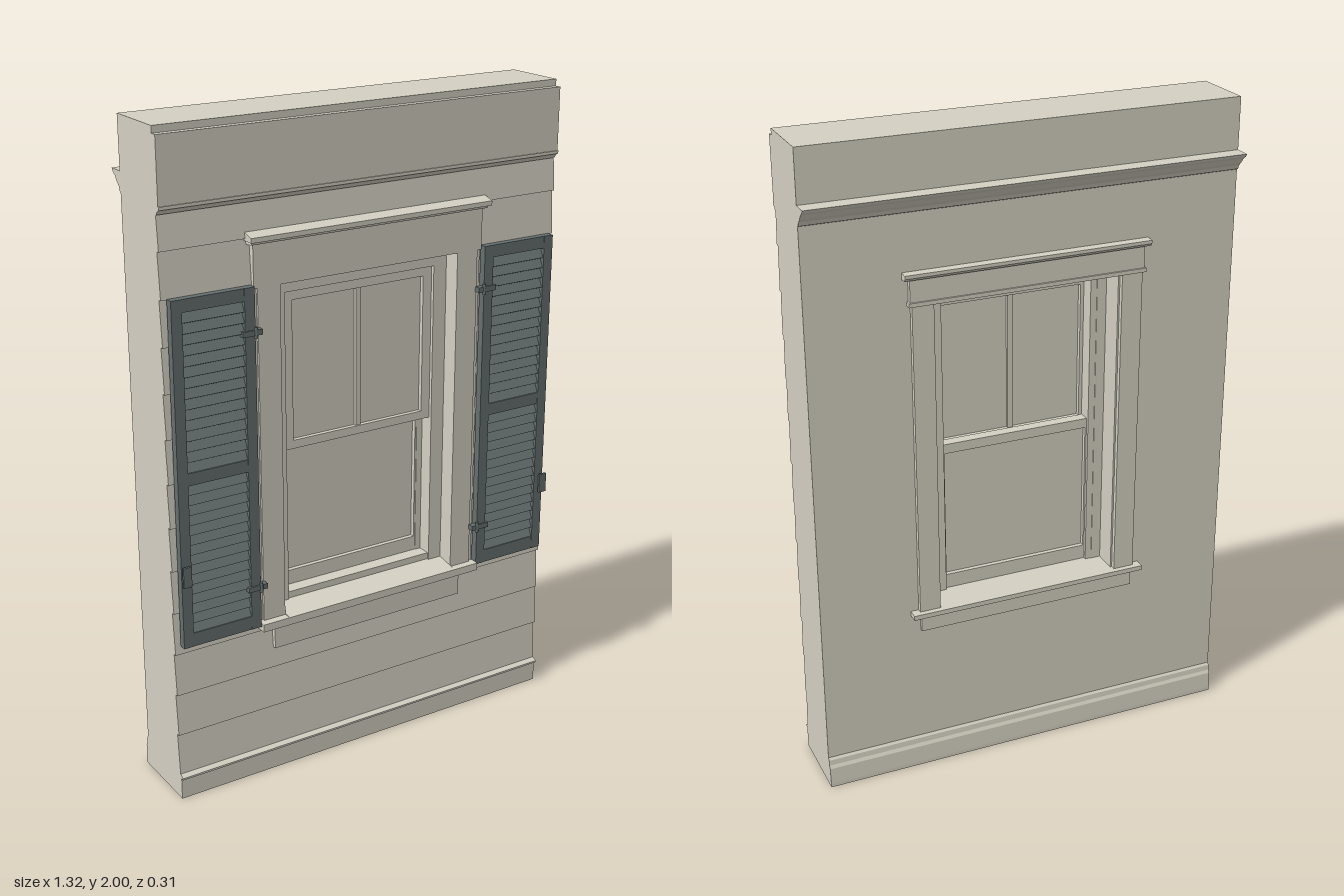
import * as THREE from 'three';

const W = 1.32; // wall width
const wallPaint = new THREE.MeshStandardMaterial({ name: 'warm off-white paint', color: 0xd5d1c3 });
const shutterPaint = new THREE.MeshStandardMaterial({ name: 'slate green paint', color: 0x667070 });

export function createModel() {
  const root = new THREE.Group();
  root.name = 'windowWall';

  const add = (geo, name, mat = wallPaint, parent = root) => {
    const m = new THREE.Mesh(geo, mat);
    m.name = name;
    parent.add(m);
    return m;
  };
  // Box given by its limits on each axis
  const box = (name, x0, x1, y0, y1, z0, z1, mat, parent) => {
    const m = add(new THREE.BoxGeometry(x1 - x0, y1 - y0, z1 - z0), name, mat, parent);
    m.position.set((x0 + x1) / 2, (y0 + y1) / 2, (z0 + z1) / 2);
    return m;
  };
  // Moulding: a [z, y] profile run along x from x0 to x1
  const moulding = (name, profile, x0, x1) => {
    const shape = new THREE.Shape(profile.map(([z, y]) => new THREE.Vector2(z, y)));
    const geo = new THREE.ExtrudeGeometry(shape, { depth: x1 - x0, bevelEnabled: false });
    geo.rotateY(-Math.PI / 2).translate(x1, 0, 0);
    return add(geo, name);
  };

  // Wall core with window opening
  const wall = new THREE.Shape();
  wall.moveTo(-W / 2, 0).lineTo(W / 2, 0).lineTo(W / 2, 2).lineTo(-W / 2, 2).closePath();
  const hole = new THREE.Path();
  hole.moveTo(-0.3, 0.52).lineTo(-0.3, 1.53).lineTo(0.3, 1.53).lineTo(0.3, 0.52).closePath();
  wall.holes.push(hole);
  add(new THREE.ExtrudeGeometry(wall, { depth: 0.203, bevelEnabled: false }).translate(0, 0, -0.105), 'wallCore');

  // Clapboard siding, split where it meets the opening
  for (let k = 0; k < 13; k++) {
    const y0 = 0.08 + k * 0.1325;
    const y1 = Math.min(y0 + 0.1325, 1.78);
    const profile = [[0.09, y0], [0.111, y0], [0.101, y1], [0.09, y1]];
    if (y1 > 0.53 && y0 < 1.53) {
      moulding('clapboardRight', profile, -W / 2, -0.3);
      moulding('clapboardLeft', profile, 0.3, W / 2);
    } else moulding('clapboard', profile, -W / 2, W / 2);
  }

  // Exterior skirt, drip cap and frieze
  box('skirtBoard', -W / 2, W / 2, 0, 0.07, 0.09, 0.116);
  moulding('dripCap', [[0.09, 0.068], [0.126, 0.068], [0.126, 0.074], [0.11, 0.082], [0.09, 0.082]], -W / 2, W / 2);
  box('friezeBoard', -W / 2, W / 2, 1.79, 1.98, 0.09, 0.118);
  moulding('friezeMould', [[0.09, 1.765], [0.106, 1.768], [0.112, 1.778], [0.122, 1.783], [0.122, 1.792], [0.09, 1.792]], -W / 2, W / 2);

  // Interior crown and baseboard
  moulding('crownMoulding', [[-0.1, 1.785], [-0.111, 1.79], [-0.115, 1.802], [-0.126, 1.812], [-0.138, 1.828],
    [-0.15, 1.836], [-0.155, 1.845], [-0.1, 1.845]], -W / 2, W / 2);
  moulding('baseboard', [[-0.1, 0], [-0.121, 0], [-0.121, 0.012], [-0.118, 0.065], [-0.113, 0.075], [-0.111, 0.092], [-0.1, 0.105]], -W / 2, W / 2);

  // Exterior window trim
  box('headCasing', -0.385, 0.385, 1.53, 1.66, 0.09, 0.122);
  moulding('headCapLower', [[0.09, 1.65], [0.132, 1.655], [0.136, 1.666], [0.09, 1.666]], -0.395, 0.395);
  moulding('headCap', [[0.09, 1.664], [0.145, 1.664], [0.145, 1.678], [0.11, 1.688], [0.09, 1.688]], -0.402, 0.402);
  moulding('exteriorSill', [[0, 0.5], [0.145, 0.49], [0.145, 0.514], [0, 0.54]], -0.3, 0.3);
  for (const s of [-1, 1]) {
    const side = (name, a, b, ...r) => box(name, Math.min(s * a, s * b), Math.max(s * a, s * b), ...r);
    side('exteriorCasing', 0.3, 0.372, 0.51, 1.535, 0.09, 0.12);
    side('casingBackBand', 0.37, 0.385, 0.51, 1.535, 0.09, 0.113);
    side('sillHorn', 0.3, 0.388, 0.49, 0.514, 0.09, 0.145);
    side('windowJamb', 0.255, 0.3, 0.52, 1.53, -0.03, 0.065);
    side('partingStop', 0.235, 0.256, 0.54, 1.49, -0.028, 0.018);
    side('interiorCasing', 0.29, 0.355, 0.54, 1.53, -0.12, -0.1);
    side('interiorJamb', 0.285, 0.3, 0.54, 1.53, -0.105, -0.03);
  }
  box('exteriorApron', -0.335, 0.335, 0.41, 0.492, 0.09, 0.118);
  box('headJamb', -0.3, 0.3, 1.485, 1.53, -0.03, 0.065);
  box('sillJamb', -0.3, 0.3, 0.52, 0.55, -0.03, 0.06);

  // Interior window trim
  box('interiorHead', -0.36, 0.36, 1.525, 1.605, -0.12, -0.1);
  box('interiorHeadBead', -0.365, 0.365, 1.522, 1.534, -0.125, -0.1);
  moulding('interiorHeadCap', [[-0.1, 1.6], [-0.125, 1.6], [-0.131, 1.608], [-0.131, 1.618], [-0.1, 1.62]], -0.377, 0.377);
  box('interiorStoolLedge', -0.3, 0.3, 0.52, 0.55, -0.105, -0.03);
  box('interiorStool', -0.38, 0.38, 0.535, 0.55, -0.137, -0.1);
  box('interiorApron', -0.35, 0.35, 0.48, 0.536, -0.117, -0.1);

  // Sash: stiles, rails and pane
  const sash = (name, hw, y0, y1, z0, z1, stile, bottom, top) => {
    const g = new THREE.Group();
    g.name = name;
    root.add(g);
    box('stileRight', -hw, -hw + stile, y0, y1, z0, z1, wallPaint, g);
    box('stileLeft', hw - stile, hw, y0, y1, z0, z1, wallPaint, g);
    box('bottomRail', -hw + stile, hw - stile, y0, y0 + bottom, z0, z1, wallPaint, g);
    box('topRail', -hw + stile, hw - stile, y1 - top, y1, z0, z1, wallPaint, g);
    const zm = (z0 + z1) / 2;
    box('pane', -hw + stile, hw - stile, y0 + bottom, y1 - top, zm - 0.003, zm + 0.003, wallPaint, g);
    return g;
  };
  const upper = sash('upperSash', 0.256, 1.005, 1.486, 0.02, 0.054, 0.031, 0.026, 0.03);
  box('muntin', -0.008, 0.008, 1.031, 1.456, 0.024, 0.05, wallPaint, upper);
  sash('lowerSash', 0.256, 0.55, 1.035, -0.018, 0.016, 0.026, 0.046, 0.03);

  // Louvred shutters with hinges and holdbacks
  for (const s of [-1, 1]) {
    const g = new THREE.Group();
    g.name = s > 0 ? 'leftShutter' : 'rightShutter';
    g.position.x = s * 0.516;
    root.add(g);
    const part = (name, ...r) => box(name, ...r, shutterPaint, g);
    part('stileInner', -0.127, -0.095, 0.505, 1.54, 0.112, 0.135);
    part('stileOuter', 0.095, 0.127, 0.505, 1.54, 0.112, 0.135);
    for (const [a, b] of [[0.505, 0.547], [1.003, 1.04], [1.503, 1.54]]) part('rail', -0.095, 0.095, a, b, 0.112, 0.134);
    for (const [a, b] of [[0.547, 1.003], [1.04, 1.503]]) {
      const n = 15, pitch = (b - a) / n;
      for (let i = 0; i < n; i++) {
        const slat = add(new THREE.BoxGeometry(0.19, 0.035, 0.005), 'slat', shutterPaint, g);
        slat.position.set(0, a + (i + 0.5) * pitch, 0.122);
        slat.rotation.x = -0.45;
      }
    }
    for (const y of [0.635, 1.41]) {
      const x0 = -s * 0.086, x1 = -s * 0.148;
      part('hingeStrap', Math.min(x0, x1), Math.max(x0, x1), y - 0.008, y + 0.008, 0.12, 0.139);
      const pin = add(new THREE.CylinderGeometry(0.005, 0.005, 0.032, 10), 'hingePin', shutterPaint, g);
      pin.position.set(-s * 0.128, y, 0.137);
    }
    const hx = s * 0.116;
    const peg = add(new THREE.CylinderGeometry(0.005, 0.005, 0.045, 10), 'holdbackPeg', shutterPaint, g);
    peg.rotation.x = Math.PI / 2;
    peg.position.set(hx, 0.735, 0.127);
    part('holdbackCatch', hx - 0.013, hx + 0.013, 0.705, 0.767, 0.146, 0.153);
  }
  return root;
}
